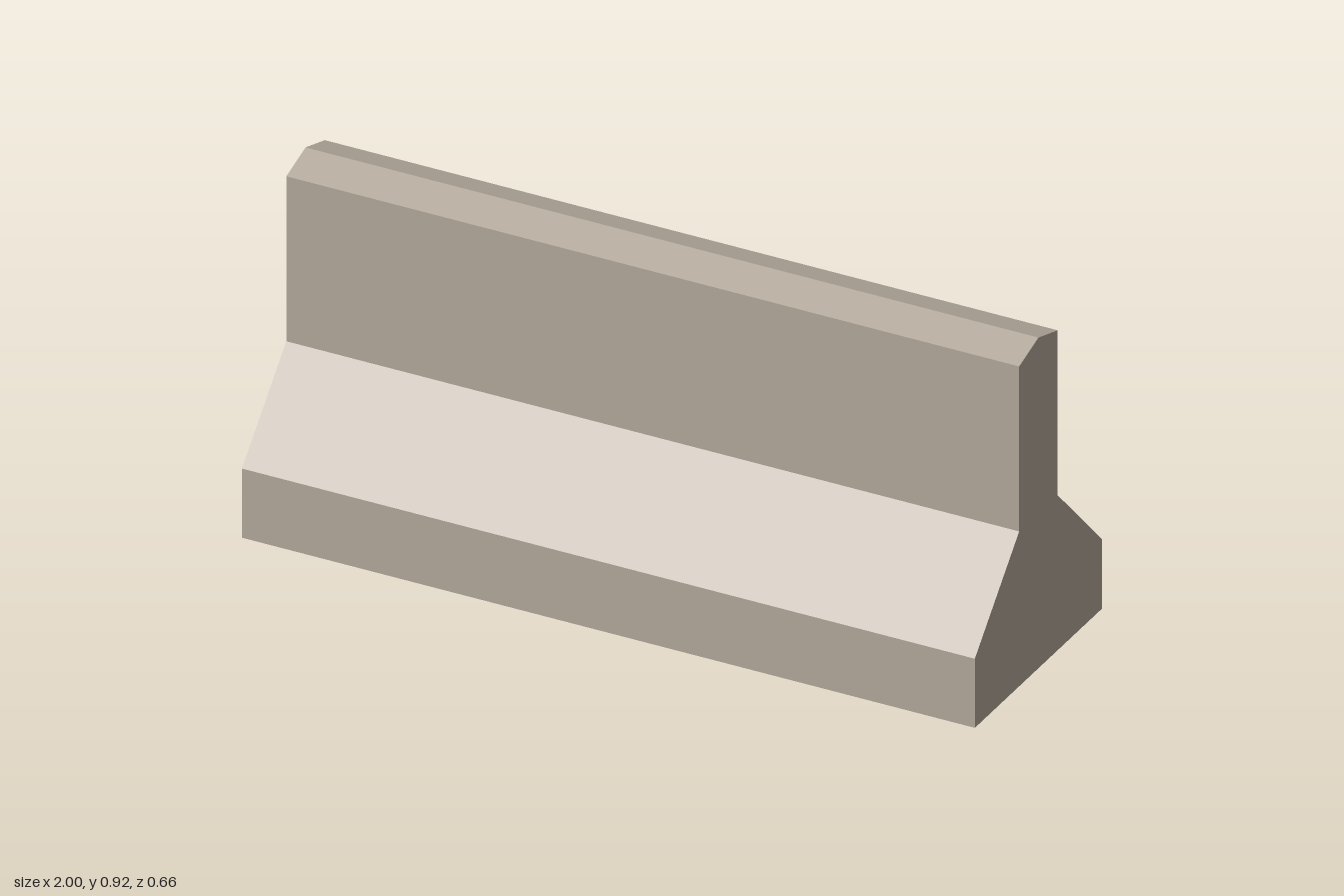
import * as THREE from 'three';

export function createModel() {
  const model = new THREE.Group();
  const concrete = new THREE.MeshStandardMaterial({ color: 0xb3a99c });
  concrete.name = 'concrete';
  concrete.flatShading = true;

  // Barrier body: half cross-section as (z, y), mirrored, swept along x
  const half = [[0.33, 0], [0.33, 0.192], [0.1, 0.43], [0.1, 0.888]];
  const outline = [
    ...half,
    [0, 0.918],
    ...half.slice().reverse().map(([z, y]) => [-z, y]),
  ].map(([z, y]) => new THREE.Vector2(z, y));
  const bodyGeometry = new THREE.ExtrudeGeometry(new THREE.Shape(outline), { depth: 2, bevelEnabled: false });
  bodyGeometry.translate(0, 0, -1).rotateY(-Math.PI / 2);
  // After the turn the section is symmetric in z, so no mirroring is needed
  const body = new THREE.Mesh(bodyGeometry, concrete);
  body.name = 'barrierBody';
  model.add(body);

  // Shallow raised flake on the back wall: lip points, then their feet
  const points = [
    [0.59, 0.81, -0.1], [0.71, 0.73, -0.11], [0.81, 0.665, -0.107], [0.93, 0.645, -0.1],
    [0.71, 0.43, -0.1], [0.81, 0.43, -0.1],
    [0.71, 0.73, -0.1], [0.81, 0.665, -0.1],
  ];
  const faces = [
    [0, 1, 4], [1, 2, 5], [1, 5, 4], [2, 3, 5], // outer faces
    [0, 6, 1], [6, 7, 2], [6, 2, 1], [7, 3, 2], // upper lip
  ];
  const flakeGeometry = new THREE.BufferGeometry();
  flakeGeometry.setAttribute('position', new THREE.Float32BufferAttribute(faces.flat().flatMap((i) => points[i]), 3));
  flakeGeometry.computeVertexNormals();
  const flake = new THREE.Mesh(flakeGeometry, concrete);
  flake.name = 'backWallFlake';
  model.add(flake);

  return model;
}
